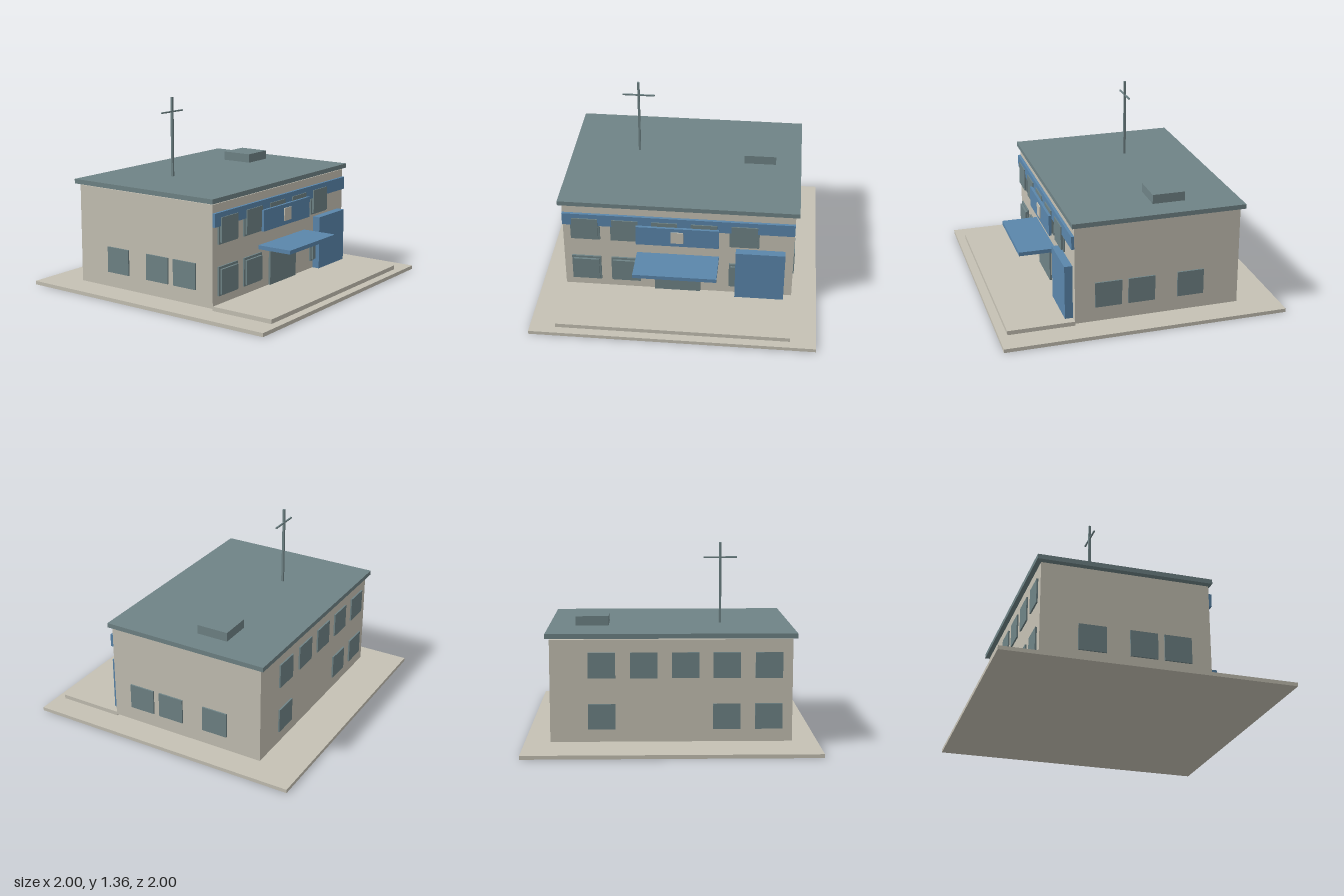
import * as THREE from 'three';

const flat = (name, color) => {
  const m = new THREE.MeshStandardMaterial({ color });
  m.name = name;
  return m;
};

export function createModel() {
  const beige = flat('beige', 0xc5c1b4);
  const slate = flat('slate', 0x6f8386);
  const blue = flat('blue', 0x5a86ab);
  const model = new THREE.Group();
  model.name = 'stationBuilding';

  // Box given by its limits on each axis
  const box = (name, material, [x0, x1], [y0, y1], [z0, z1], parent = model) => {
    const mesh = new THREE.Mesh(new THREE.BoxGeometry(x1 - x0, y1 - y0, z1 - z0), material);
    mesh.position.set((x0 + x1) / 2, (y0 + y1) / 2, (z0 + z1) / 2);
    mesh.name = name;
    parent.add(mesh);
    return mesh;
  };

  // Ground, forecourt, walls and overhanging roof
  box('groundSlab', beige, [-1, 1], [0, 0.026], [-1, 1]);
  box('forecourt', beige, [-0.82, 0.82], [0.026, 0.056], [0.47, 0.94]);
  box('walls', beige, [-0.82, 0.82], [0.04, 0.742], [-0.702, 0.472]);
  box('roof', slate, [-0.847, 0.847], [0.752, 0.785], [-0.732, 0.492]);
  box('roofHatch', slate, [0.43, 0.662], [0.785, 0.85], [-0.355, -0.123]);

  // Antenna
  const antenna = new THREE.Group();
  antenna.name = 'antenna';
  model.add(antenna);
  box('mast', slate, [-0.363, -0.347], [0.785, 1.355], [-0.246, -0.23], antenna);
  box('crossbar', slate, [-0.472, -0.238], [1.246, 1.256], [-0.243, -0.233], antenna);

  // Front and back windows: five upstairs, three downstairs
  const windows = new THREE.Group();
  windows.name = 'windows';
  model.add(windows);
  const columns = [-0.66, -0.375, -0.095, 0.185, 0.47];
  const rows = [[0.567, columns], [0.215, [-0.66, -0.375, 0.47]]];
  for (const [y, xs] of rows) {
    for (const x of xs) {
      const h = 0.0875;
      const w = 0.0925;
      box('frontFrame', slate, [x - 0.105, x + 0.105], [y - 0.1, y + 0.1], [0.472, 0.484], windows);
      box('frontPane', slate, [x - w, x + w], [y - h, y + h - 0.004], [0.484, 0.499], windows);
      box('backWindow', slate, [x - w, x + w], [y - h, y + h], [-0.713, -0.702], windows);
    }
  }

  // Side windows, mirrored
  for (const s of [-1, 1]) {
    for (const z of [0.238, 0.002, -0.35]) {
      const xs = [s * 0.82, s * 0.831].sort((a, b) => a - b);
      box('sideWindow', slate, xs, [0.147, 0.33], [z - 0.095, z + 0.095], windows);
    }
  }

  // Front band, sign board and plaque
  box('frontBand', blue, [-0.82, 0.82], [0.592, 0.685], [0.472, 0.492]);
  box('signBoard', blue, [-0.295, 0.292], [0.47, 0.62], [0.497, 0.517]);
  box('signPlaque', beige, [-0.047, 0.042], [0.5, 0.592], [0.517, 0.524]);

  // Entrance door, canopy and garage portal
  box('door', slate, [-0.167, 0.162], [0.056, 0.34], [0.472, 0.486]);
  box('canopy', blue, [-0.295, 0.292], [0.34, 0.368], [0.472, 0.735]);
  box('portal', blue, [0.412, 0.762], [0.056, 0.445], [0.472, 0.528]);

  return model;
}
